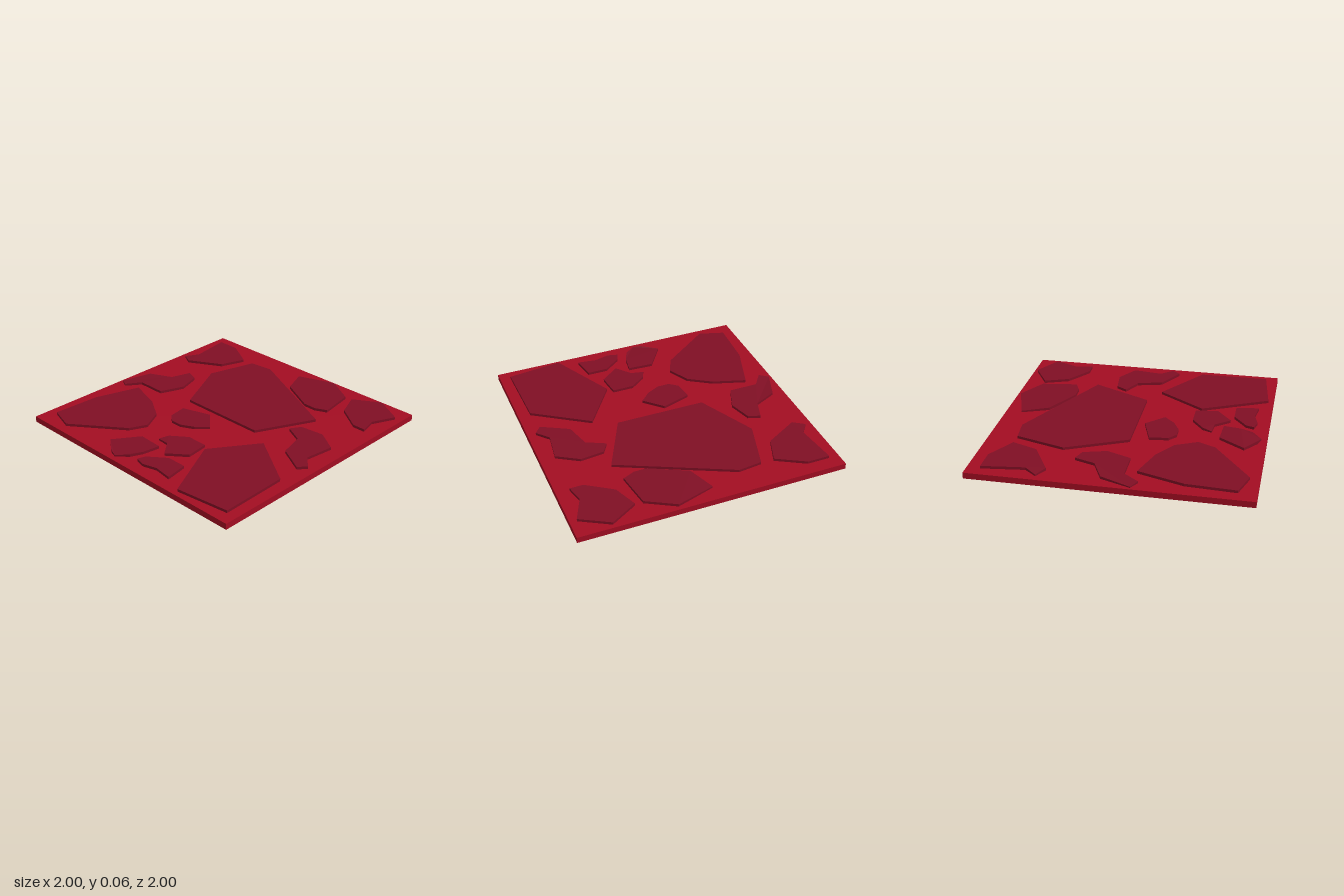
import * as THREE from 'three';

const SLAB_TOP = 0.045;
const STONE_TOP = 0.065;

export function createModel() {
  const group = new THREE.Group();
  const slabRed = new THREE.MeshStandardMaterial({ name: 'slab red', color: 0xa30d22 });
  const stoneRed = new THREE.MeshStandardMaterial({ name: 'dark stone red', color: 0x800f24 });

  // Square base slab
  const slab = new THREE.Mesh(new THREE.BoxGeometry(2, SLAB_TOP, 2), slabRed);
  slab.name = 'baseSlab';
  slab.position.y = SLAB_TOP / 2;
  group.add(slab);

  // Raised stone from an outline of [x, z, optional drop of the top corner]
  function addStone(name, outline) {
    const shape = new THREE.Shape(outline.map(([x, z]) => new THREE.Vector2(x, -z)));
    const sunk = 0.005;
    let geometry = new THREE.ExtrudeGeometry(shape, {
      depth: STONE_TOP - SLAB_TOP + sunk, bevelEnabled: false,
    });
    geometry.rotateX(-Math.PI / 2);
    geometry.translate(0, SLAB_TOP - sunk, 0);
    const pos = geometry.attributes.position;
    for (const [x, z, drop] of outline) {
      if (!drop) continue;
      for (let i = 0; i < pos.count; i++) {
        const near = Math.hypot(pos.getX(i) - x, pos.getZ(i) - z) < 1e-4;
        if (near && pos.getY(i) > SLAB_TOP) pos.setY(i, STONE_TOP - drop);
      }
    }
    geometry.computeVertexNormals();
    const stone = new THREE.Mesh(geometry, stoneRed);
    stone.name = name;
    group.add(stone);
  }

  // Large stones
  addStone('centreStone', [[-.44, -.78], [-.26, -.80], [.55, -.41], [.34, .03], [-.34, .03], [-.55, -.41]]);
  addStone('frontRightStone', [[-.78, .17], [-.53, .25], [-.36, .36], [-.28, .52], [-.34, .65],
    [-.72, .93], [-.91, .87], [-.89, .51]]);
  addStone('frontLeftStone', [[.51, .12], [.91, .39], [.92, .91], [.51, .96], [.27, .47]]);

  // Stones along the back edge
  addStone('backRightStone', [[-.92, -.90], [-.75, -.90], [-.54, -.78], [-.61, -.59], [-.86, -.45],
    [-.95, -.50, .008], [-.88, -.59]]);
  addStone('backMiddleStone', [[-.02, -.88, .008], [.27, -.97], [.48, -.85], [.52, -.58], [.43, -.54],
    [.33, -.54], [.06, -.68]]);
  addStone('backLeftStone', [[.54, -.85], [.74, -.97], [.95, -.85], [.87, -.67], [.90, -.54],
    [.80, -.54], [.61, -.67]]);

  // Hooked stones at the sides
  addStone('sideRightStone', [[-.68, -.29], [-.59, -.26], [-.54, -.09], [-.61, .09], [-.83, .09],
    [-.91, .20, .004], [-.98, .16, .012], [-.90, -.06], [-.73, -.14]]);
  addStone('sideLeftStone', [[.50, -.17], [.55, -.25], [.73, -.27], [.89, -.17], [.86, .05],
    [.94, .14], [.89, .20], [.69, .09], [.64, -.10]]);

  // Small stones in the front gap
  addStone('smallStoneA', [[-.28, .16], [-.06, .09], [.07, .22], [-.01, .30], [-.11, .35],
    [-.20, .35], [-.26, .30]]);
  addStone('smallStoneB', [[.07, .43], [.23, .43], [.25, .60], [.11, .71], [.02, .60],
    [-.08, .59, .008], [-.05, .52]]);
  addStone('smallStoneC', [[-.18, .66], [.01, .67], [-.01, .80], [-.05, .89], [-.13, .96, .01],
    [-.19, .94], [-.31, .85]]);
  addStone('smallStoneD', [[.18, .73], [.33, .73], [.36, .90], [.22, .88], [.11, .91],
    [.03, .89], [.05, .83]]);

  return group;
}
